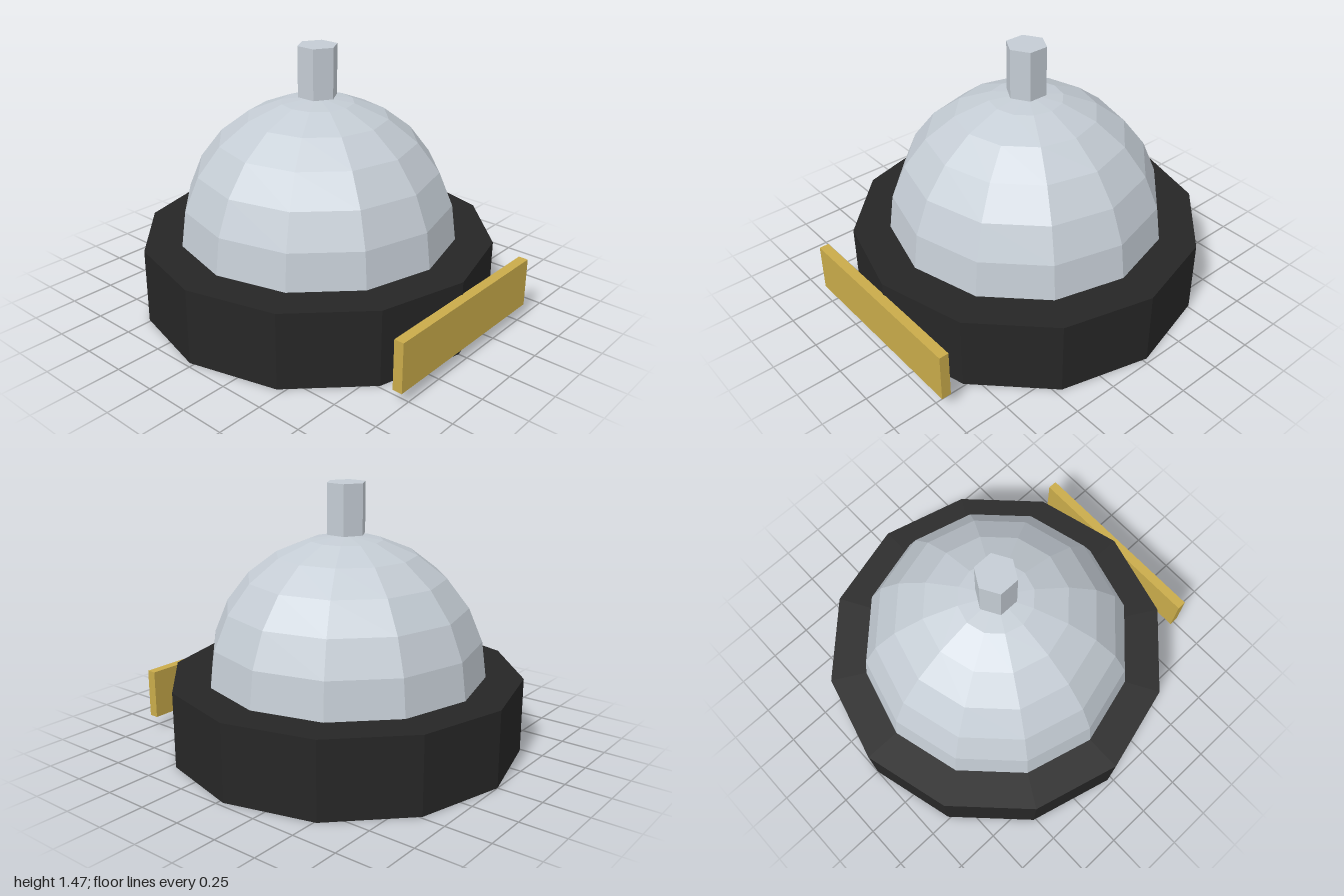
import * as THREE from 'three';

export function createModel() {
  const bell = new THREE.Group();
  bell.name = 'deskBell';

  const paint = (color) => new THREE.MeshStandardMaterial({ color, flatShading: true });
  const steel = paint(0xc4ccd4);
  const black = paint(0x262626);
  const brass = paint(0xc9ab4a);
  const axisZ = -0.025;

  function add(name, geometry, material, y, z) {
    const mesh = new THREE.Mesh(geometry, material);
    mesh.name = name;
    mesh.position.set(0, y, z);
    bell.add(mesh);
  }

  // Twelve-sided base
  add('base', new THREE.CylinderGeometry(0.975, 0.975, 0.42, 12), black, 0.21, axisZ);

  // Faceted half-sphere resting on the base
  const dome = new THREE.SphereGeometry(0.77, 12, 6, 0, Math.PI * 2, 0, Math.PI / 2);
  add('dome', dome, steel, 0.42, axisZ);

  // Hexagonal push button just above the dome
  add('button', new THREE.CylinderGeometry(0.11, 0.11, 0.276, 6), steel, 1.333, axisZ);

  // Flat plate at the front of the base
  add('frontPlate', new THREE.BoxGeometry(1.116, 0.276, 0.054), brass, 0.212, 0.973);

  return bell;
}
